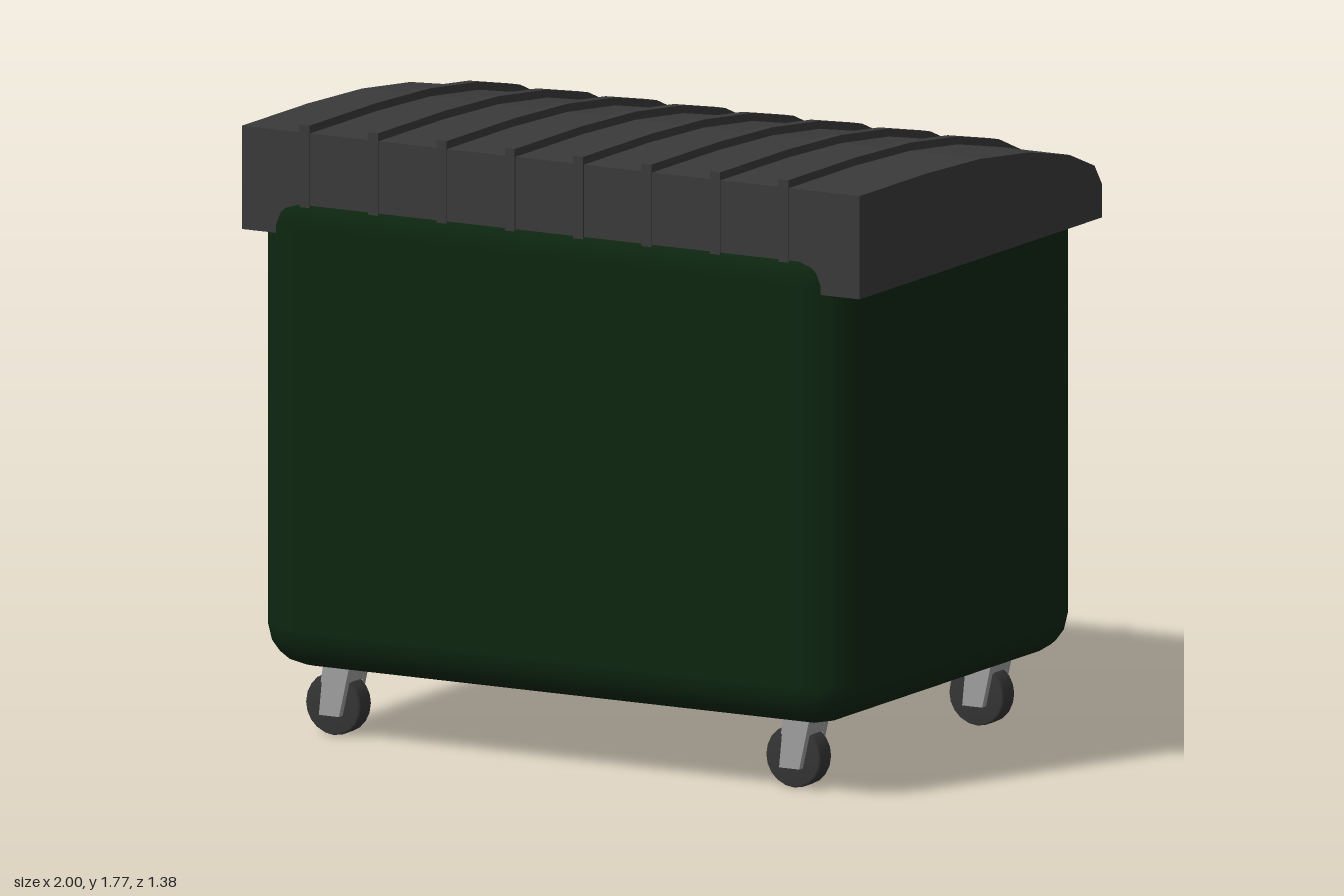
import * as THREE from 'three';
import { RoundedBoxGeometry } from 'three/addons/geometries/RoundedBoxGeometry.js';

const material = (name, color) => {
  const m = new THREE.MeshStandardMaterial({ color });
  m.name = name;
  return m;
};

// Extrudes an outline along z, centred on z = 0
function slab(points, depth) {
  const shape = new THREE.Shape(points.map(([x, y]) => new THREE.Vector2(x, y)));
  const geo = new THREE.ExtrudeGeometry(shape, { depth, bevelEnabled: false });
  return geo.translate(0, 0, -depth / 2);
}

// Extrudes a side outline (z, y) along x, centred on x = 0
const sideSlab = (points, width) => slab(points, width).rotateY(-Math.PI / 2);

export function createModel() {
  const model = new THREE.Group();
  model.name = 'wheeledBin';
  const green = material('dark green', 0x0d2610);
  const charcoal = material('charcoal', 0x3a3a3a);
  const rubber = material('rubber', 0x363636);
  const steel = material('steel', 0xa0a0a0);

  const add = (parent, name, geo, mat, x = 0, y = 0, z = 0) => {
    const mesh = new THREE.Mesh(geo, mat);
    mesh.name = name;
    mesh.position.set(x, y, z);
    parent.add(mesh);
    return mesh;
  };

  // Body: rounded box whose corner radius differs along each axis
  const [rx, ry, rz] = [0.14, 0.12, 0.11];
  const [w, h, d] = [1.895, 1.39, 1.37];
  const bodyGeo = new RoundedBoxGeometry(w / rx, h / ry, d / rz, 2, 1).scale(rx, ry, rz);
  add(model, 'body', bodyGeo, green, -0.008, 0.205 + h / 2, 0.003);

  // Lid: curved top falling towards the back
  const curve = [[0.67, 1.745], [0.3, 1.745], [0, 1.735], [-0.27, 1.707],
    [-0.5, 1.66], [-0.64, 1.605], [-0.682, 1.545]];
  add(model, 'lid', sideSlab([[-0.682, 1.45], [0.67, 1.45], ...curve], 2), charcoal);

  // Ribs running over the lid from front to back
  const ribCurve = [[0.674, 1.768], [0.3, 1.768], [0, 1.758], [-0.27, 1.73],
    [-0.5, 1.682], [-0.64, 1.625], [-0.69, 1.56]];
  const ribGeo = sideSlab([[-0.69, 1.45], [0.674, 1.45], ...ribCurve], 0.032);
  for (let i = 0; i < 8; i++) add(model, 'lidRib', ribGeo, charcoal, -0.795 + i * 0.2215);

  // Castors: a leaning fork over a soft-edged wheel
  const wheelGeo = new THREE.LatheGeometry(
    [[0, -0.037], [0.084, -0.036], [0.089, -0.026], [0.089, 0.026], [0.084, 0.036], [0, 0.037]]
      .map(([r, y]) => new THREE.Vector2(r, y)), 20).rotateX(Math.PI / 2);
  const plateGeo = slab([[-0.03, 0.06], [0.035, 0.06], [0.07, 0.215], [-0.015, 0.215]], 0.021);
  const bridgeGeo = slab([[-0.025, 0.155], [0.056, 0.155], [0.07, 0.215], [-0.015, 0.215]], 0.114);
  for (const x of [-0.79, 0.7]) {
    for (const z of [0.493, -0.528]) {
      const castor = new THREE.Group();
      castor.name = 'castor';
      castor.position.set(x, 0, z);
      add(castor, 'wheel', wheelGeo, rubber, 0, 0.089, 0);
      add(castor, 'forkBridge', bridgeGeo, steel);
      for (const s of [-1, 1]) add(castor, 'forkPlate', plateGeo, steel, 0, 0, s * 0.0475);
      model.add(castor);
    }
  }
  return model;
}
